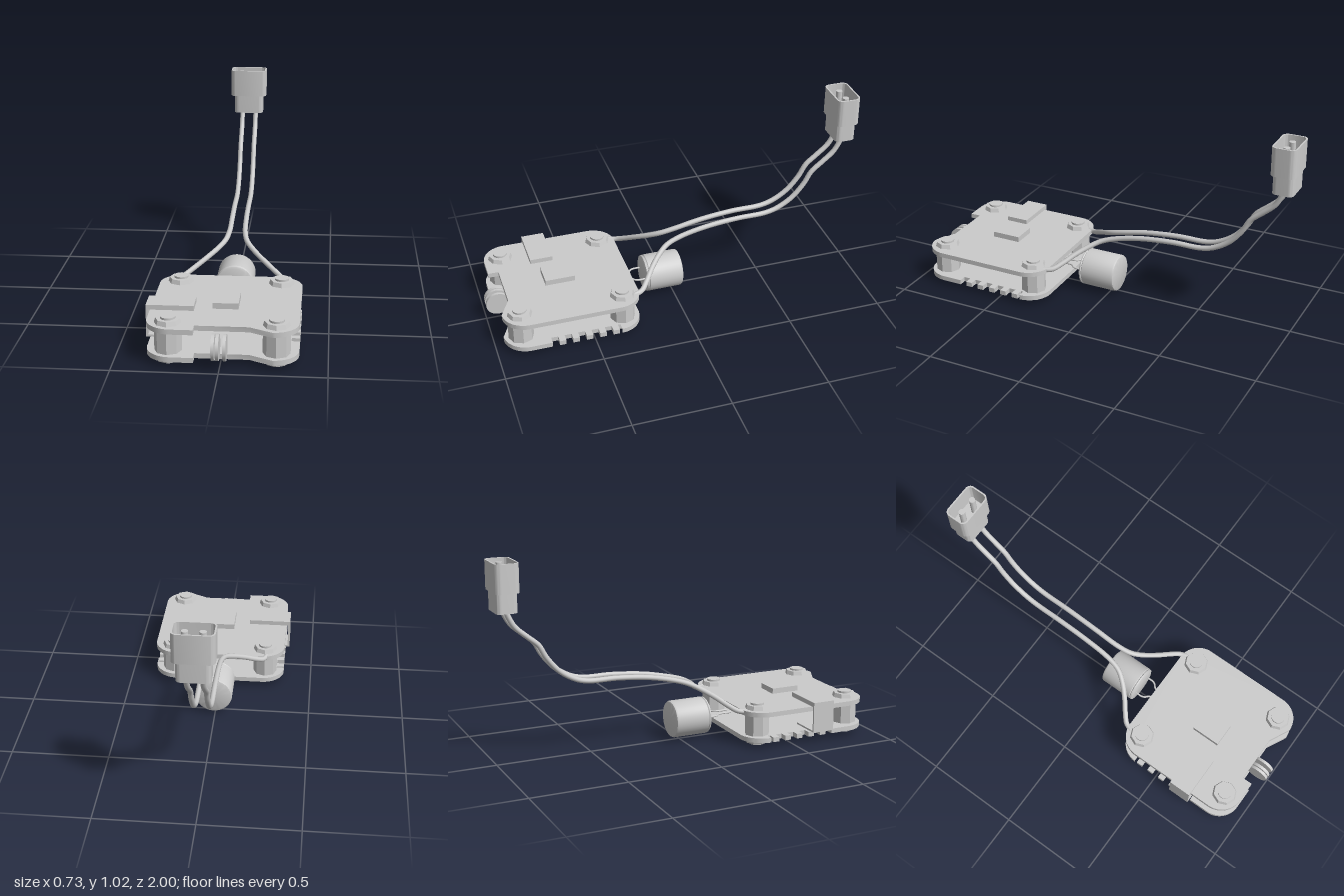
import * as THREE from 'three';
import { toCreasedNormals } from 'three/addons/utils/BufferGeometryUtils.js';

const CX = 0.0075; // symmetry line of the board stack
const mat = new THREE.MeshStandardMaterial({ color: 0xcccccc });
const flatMat = new THREE.MeshStandardMaterial({ color: 0xcccccc, flatShading: true });

function add(parent, name, geometry, x = 0, y = 0, z = 0, material = mat) {
  const mesh = new THREE.Mesh(geometry, material);
  mesh.name = name;
  mesh.position.set(x, y, z);
  parent.add(mesh);
  return mesh;
}

function box(parent, name, x0, x1, y0, y1, z0, z1) {
  return add(parent, name, new THREE.BoxGeometry(x1 - x0, y1 - y0, z1 - z0),
    (x0 + x1) / 2, (y0 + y1) / 2, (z0 + z1) / 2);
}

// Extrudes a plan shape (drawn with y = -z) upwards from y = 0
function slab(shape, height) {
  const g = new THREE.ExtrudeGeometry(shape, { depth: height, bevelEnabled: false, curveSegments: 8 });
  g.rotateX(-Math.PI / 2);
  return toCreasedNormals(g, 0.6);
}

function roundedRect(w, h, r, path = new THREE.Shape()) {
  const a = w / 2, b = h / 2;
  path.moveTo(a, -b + r);
  path.absarc(a - r, b - r, r, 0, Math.PI / 2);
  path.absarc(-a + r, b - r, r, Math.PI / 2, Math.PI);
  path.absarc(-a + r, -b + r, r, Math.PI, Math.PI * 1.5);
  path.absarc(a - r, -b + r, r, Math.PI * 1.5, Math.PI * 2);
  return path;
}

// Board outline: rounded square, front notch, optional slots along both sides
function boardShape(slotted) {
  const a = 0.357, b = 0.355, r = 0.12, notch = 0.1275, depth = 0.055;
  const slots = slotted ? [0, 1, 2, 3, 4, 5].map((i) => -0.11 + i * 0.07) : [];
  const w = 0.018, d = 0.04;
  const s = new THREE.Shape();
  s.moveTo(notch, -b);
  s.absarc(a - r, -b + r, r, Math.PI * 1.5, Math.PI * 2);
  for (const y of slots) {
    s.lineTo(a, y - w); s.lineTo(a - d, y - w); s.lineTo(a - d, y + w); s.lineTo(a, y + w);
  }
  s.absarc(a - r, b - r, r, 0, Math.PI / 2);
  s.absarc(-a + r, b - r, r, Math.PI / 2, Math.PI);
  for (const y of [...slots].reverse()) {
    s.lineTo(-a, y + w); s.lineTo(-a + d, y + w); s.lineTo(-a + d, y - w); s.lineTo(-a, y - w);
  }
  s.absarc(-a + r, -b + r, r, Math.PI, Math.PI * 1.5);
  s.lineTo(-notch, -b);
  s.lineTo(-notch, -b + depth);
  s.lineTo(notch, -b + depth);
  s.closePath();
  return s;
}

function tube(parent, name, points, radius, segments) {
  const curve = new THREE.CatmullRomCurve3(points.map((p) => new THREE.Vector3(...p)));
  return add(parent, name, new THREE.TubeGeometry(curve, segments, radius, 12));
}

export function createModel() {
  const model = new THREE.Group();
  model.name = 'stackedCircuitBoards';

  // Two boards, the lower one slotted along its sides
  add(model, 'lowerBoard', slab(boardShape(true), 0.025), CX, 0.03, 0.6);
  add(model, 'upperBoard', slab(boardShape(false), 0.025), CX, 0.168, 0.6);

  // Corner standoffs with nuts and bolts
  for (const sx of [-1, 1]) for (const z of [0.335, 0.867]) {
    const post = new THREE.Group();
    post.name = 'cornerPost';
    post.position.set(CX + sx * 0.253, 0, z);
    add(post, 'standoff', new THREE.CylinderGeometry(0.065, 0.065, 0.113, 8), 0, 0.1115, 0, flatMat);
    add(post, 'upperNut', new THREE.CylinderGeometry(0.058, 0.065, 0.022, 8), 0, 0.204, 0, flatMat);
    add(post, 'lowerNut', new THREE.CylinderGeometry(0.065, 0.058, 0.02, 8), 0, 0.02, 0, flatMat);
    add(post, 'bolt', toCreasedNormals(new THREE.CylinderGeometry(0.036, 0.036, 0.225, 20), 0.6), 0, 0.1125, 0);
    model.add(post);
  }

  // Chip on the upper board
  box(model, 'chip', -0.055, 0.07, 0.19, 0.222, 0.535, 0.69);

  // Folded clip wrapping the side of both boards
  const clip = new THREE.Group();
  clip.name = 'sideClip';
  box(clip, 'clipTop', -0.37, -0.14, 0.193, 0.217, 0.605, 0.725);
  box(clip, 'clipWall', -0.37, -0.36, 0.055, 0.195, 0.605, 0.725);
  box(clip, 'clipBottom', -0.365, -0.2, 0.055, 0.064, 0.605, 0.725);
  model.add(clip);

  // Three thin upright discs in the front notch
  for (const x of [-0.028, -0.008, 0.026]) {
    const g = toCreasedNormals(new THREE.CylinderGeometry(0.0625, 0.0625, 0.015, 32), 0.6);
    g.rotateZ(Math.PI / 2);
    add(model, 'frontDisc', g, x, 0.105, 0.9375);
  }

  // Capacitor can lying behind the boards, with a groove near each end
  const profile = [[0, 0], [0.085, 0], [0.094, 0.004], [0.098, 0.012], [0.098, 0.185],
    [0.094, 0.189], [0.098, 0.193], [0.096, 0.2], [0.085, 0.205], [0, 0.205]];
  const can = new THREE.LatheGeometry(profile.map((p) => new THREE.Vector2(...p)), 40);
  can.rotateX(Math.PI / 2);
  add(model, 'capacitor', toCreasedNormals(can, 0.5), CX, 0.11, -0.05);

  for (const s of [-1, 1]) {
    // Capacitor leads
    tube(model, 'capacitorLead', [[0.053, 0.15], [0.053, 0.19], [0.046, 0.207], [0.03, 0.222],
      [0.024, 0.24], [0.024, 0.3]].map(([x, z]) => [CX + s * x, 0.11, z]), 0.005, 30);

    // Power wires: sideways offset, height, depth
    tube(model, 'powerWire', [[0.262, 0.183, 0.27], [0.245, 0.187, 0.228], [0.205, 0.21, 0.19],
      [0.15, 0.245, 0.145], [0.095, 0.28, 0.09], [0.058, 0.308, 0.035], [0.042, 0.332, -0.04],
      [0.038, 0.363, -0.18], [0.038, 0.382, -0.36], [0.038, 0.386, -0.52], [0.038, 0.405, -0.59],
      [0.038, 0.455, -0.67], [0.038, 0.53, -0.735], [0.038, 0.598, -0.775], [0.038, 0.645, -0.83],
      [0.038, 0.7, -0.892], [0.038, 0.75, -0.922], [0.038, 0.79, -0.938],
    ].map(([x, y, z]) => [CX + s * x, y, z]), 0.0135, 110);
  }

  // Plug: solid base, hollow shell and two pins
  const plug = new THREE.Group();
  plug.name = 'plug';
  plug.position.set(CX, 0, -0.9375);
  add(plug, 'plugBase', slab(roundedRect(0.162, 0.108, 0.025), 0.112), 0, 0.778, 0);
  const shell = roundedRect(0.2, 0.125, 0.03);
  shell.holes.push(roundedRect(0.184, 0.109, 0.023, new THREE.Path()));
  add(plug, 'plugShell', slab(shell, 0.147), 0, 0.878, 0);
  add(plug, 'plugFloor', slab(roundedRect(0.19, 0.115, 0.026), 0.012), 0, 0.879, 0);
  for (const s of [-1, 1]) {
    add(plug, 'plugPin', toCreasedNormals(new THREE.CylinderGeometry(0.016, 0.016, 0.125, 20), 0.6), s * 0.041, 0.95, 0);
  }
  model.add(plug);

  return model;
}
